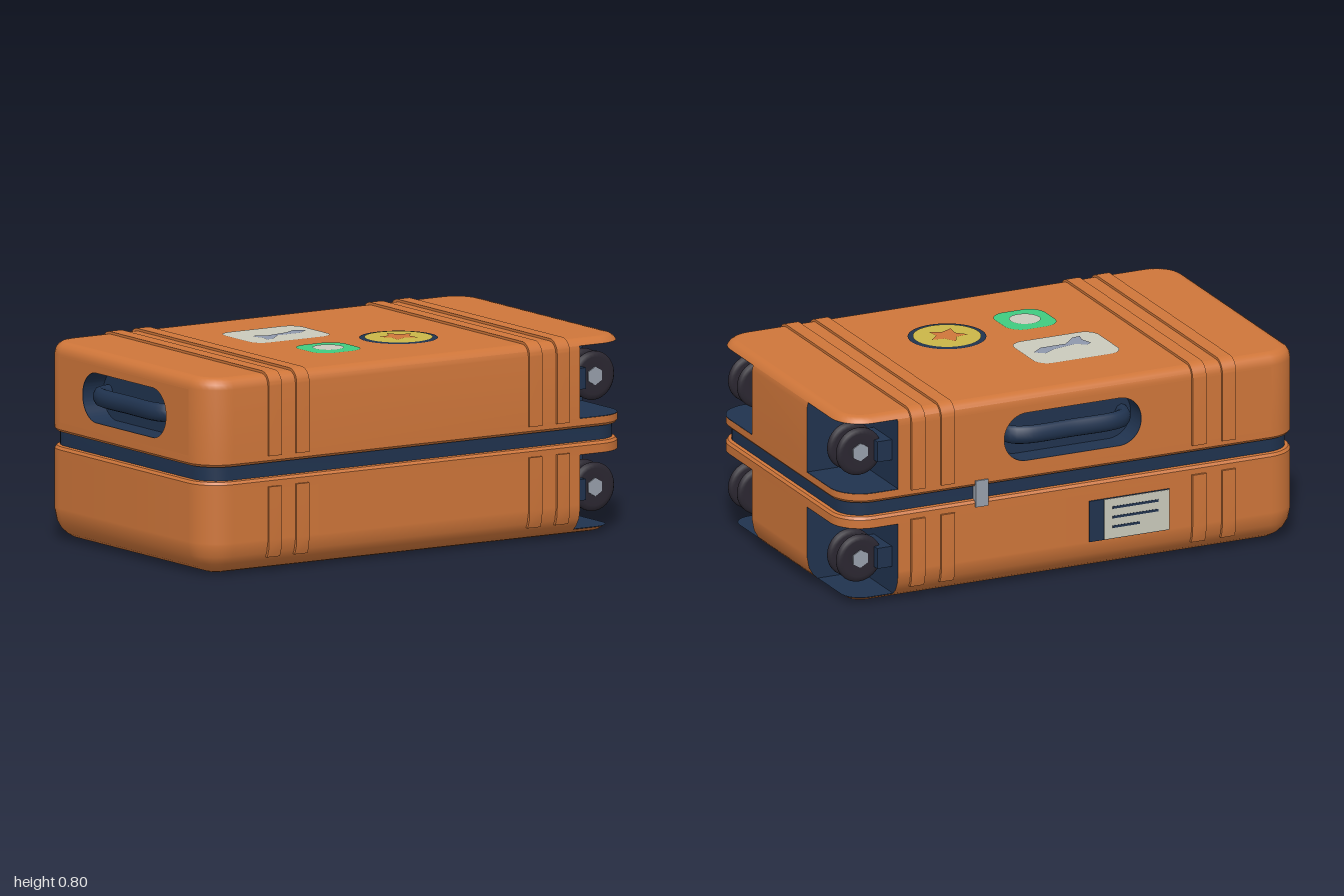
import * as THREE from 'three';
import { toCreasedNormals } from 'three/addons/utils/BufferGeometryUtils.js';

const W = 1, D = 0.59, R = 0.13;          // half width, half depth, corner radius
const NX = 0.765, NZ = 0.25;              // wheel well walls
const WELL_SEGMENTS = [1, 2, 22, 23], END = 12, BACK = 21;

const mat = (name, color, side = THREE.FrontSide) => {
  const m = new THREE.MeshStandardMaterial({ color, side });
  m.name = name;
  return m;
};

// Rounded corner points of the plan outline, inset by d
function corner(sx, sz, start, d) {
  return Array.from({ length: 9 }, (_, i) => {
    const a = start + (i / 8) * Math.PI / 2;
    return [sx * (W - R) + (R - d) * Math.cos(a), sz * (D - R) + (R - d) * Math.sin(a)];
  });
}
const H = Math.PI / 2;
const fullOutline = d => [...corner(1, 1, 0, d), ...corner(-1, 1, H, d), ...corner(-1, -1, 2 * H, d), ...corner(1, -1, 3 * H, d)];
const notchedOutline = d => [[W - d, -NZ], [W - d, NZ], [NX, NZ], [NX, D - d],
  ...corner(-1, 1, H, d), ...corner(-1, -1, 2 * H, d), [NX, d - D], [NX, -NZ]];

// Walls between rings [y, inset], keeping only the chosen outline segments
function loft(rings, outline, keep = () => true) {
  const out = [];
  for (let k = 0; k < rings.length - 1; k++) {
    const [y0, d0] = rings[k], [y1, d1] = rings[k + 1];
    const lo = outline(d0), hi = outline(d1), n = lo.length;
    for (let i = 0; i < n; i++) {
      if (!keep(i)) continue;
      const j = (i + 1) % n;
      const a = [lo[i][0], y0, lo[i][1]], b = [lo[j][0], y0, lo[j][1]];
      const c = [hi[j][0], y1, hi[j][1]], e = [hi[i][0], y1, hi[i][1]];
      out.push(...a, ...e, ...c, ...a, ...c, ...b);
    }
  }
  return out;
}
function fromPositions(p) {
  const g = new THREE.BufferGeometry();
  g.setAttribute('position', new THREE.Float32BufferAttribute(p, 3));
  return toCreasedNormals(g, 0.6);
}
const polygon = pts => new THREE.Shape(pts.map(p => new THREE.Vector2(p[0], p[1])));
function roundRect(cx, cy, hw, hh, r) {
  const s = new THREE.Shape();
  s.absarc(cx + hw - r, cy + hh - r, r, 0, H);
  s.absarc(cx - hw + r, cy + hh - r, r, H, 2 * H);
  s.absarc(cx - hw + r, cy - hh + r, r, 2 * H, 3 * H);
  s.absarc(cx + hw - r, cy - hh + r, r, 3 * H, 4 * H);
  s.closePath();
  return s;
}

export function createModel() {
  const root = new THREE.Group();
  root.name = 'suitcase';
  const orange = mat('orange shell', 0xcf763a);
  const navy = mat('navy trim', 0x20334f, THREE.DoubleSide);
  const cream = mat('cream', 0xcacabc);
  const yellow = mat('yellow', 0xcab648);
  const green = mat('green', 0x40cb80);
  const blueGrey = mat('blue grey', 0x8f98ad);
  const rubber = mat('dark rubber', 0x2b2731);
  const steel = mat('steel', 0x98a0ac);
  const add = (parent, name, geo, material, x = 0, y = 0, z = 0) => {
    const m = new THREE.Mesh(geo, material);
    m.name = name;
    m.position.set(x, y, z);
    parent.add(m);
    return m;
  };

  // Shell halves
  const isWell = i => WELL_SEGMENTS.includes(i);
  const notWell = i => !isWell(i);
  const upperMid = [[0.475, 0], [0.74, 0]], upperEdge = [[0.74, 0], [0.745, 0], [0.765, 0.005]];
  const lowerMid = [[0.025, 0.047], [0.045, 0.026], [0.075, 0.009], [0.12, 0], [0.13, 0], [0.33, 0]];
  add(root, 'upperShell', fromPositions([
    ...loft([[0.432, 0.03], [0.436, 0.008], [0.446, 0], [0.475, 0]], fullOutline),
    ...loft(upperMid, notchedOutline, i => notWell(i) && i !== END && i !== BACK),
    ...loft(upperEdge, notchedOutline, notWell),
    ...loft([[0.765, 0.005], [0.777, 0.013], [0.787, 0.028], [0.79, 0.045]], fullOutline)]), orange);
  add(root, 'lowerShell', fromPositions([
    ...loft([[0, 0.12], [0.002, 0.098], [0.009, 0.074], [0.025, 0.047]], fullOutline),
    ...loft(lowerMid, notchedOutline, notWell),
    ...loft([[0.33, 0], [0.365, 0], [0.376, 0.008], [0.38, 0.03]], fullOutline)]), orange);
  add(root, 'topPanel', new THREE.ShapeGeometry(polygon(fullOutline(0.045))).rotateX(-H), orange, 0, 0.79);
  add(root, 'bottomPanel', new THREE.ShapeGeometry(polygon(fullOutline(0.12))).rotateX(H), orange);
  const core = new THREE.ExtrudeGeometry(polygon(fullOutline(0.022)), { depth: 0.07, bevelEnabled: false });
  add(root, 'seam', toCreasedNormals(core.rotateX(-H), 0.6), navy, 0, 0.37);

  // Wheel wells: inner walls, floors and ceilings
  add(root, 'upperWellWalls', fromPositions(loft([...upperMid, ...upperEdge.slice(1)], notchedOutline, isWell)), navy);
  add(root, 'lowerWellWalls', fromPositions(loft(lowerMid, notchedOutline, isWell)), navy);
  for (const s of [1, -1]) {
    for (const [y, d] of [[0.476, 0], [0.764, 0.005], [0.026, 0.047], [0.329, 0]]) {
      const pts = [[NX, NZ], [W - d, NZ], ...corner(1, 1, 0, d), [NX, D - d]].map(p => [p[0], s * p[1]]);
      add(root, 'wellPlate', new THREE.ShapeGeometry(polygon(pts)).rotateX(-H), navy, 0, y);
    }
  }

  // Twin wheels on brackets
  const tire = new THREE.LatheGeometry([[0.03, -0.013], [0.075, -0.015], [0.09, -0.012], [0.098, -0.004],
    [0.098, 0.004], [0.09, 0.012], [0.075, 0.015], [0.03, 0.013]].map(p => new THREE.Vector2(...p)), 28).rotateX(H);
  for (const y of [0.622, 0.177]) {
    for (const s of [1, -1]) {
      const g = new THREE.Group();
      g.name = 'wheelUnit';
      g.position.set(0.89, y, s * 0.45);
      root.add(g);
      for (const z of [-0.04, 0.04]) add(g, 'wheel', tire, rubber, 0, 0, z);
      add(g, 'axle', new THREE.CylinderGeometry(0.037, 0.037, 0.116, 6).rotateX(H).toNonIndexed(), steel);
      add(g, 'bracketBase', new THREE.BoxGeometry(0.065, 0.085, 0.166), navy, -0.0935);
      add(g, 'bracketArm', new THREE.BoxGeometry(0.05, 0.064, 0.045), navy, -0.055);
    }
  }

  // Raised ribs over the top and down the sides
  const upperRib = new THREE.Shape();
  upperRib.moveTo(-0.6, 0.465).lineTo(0.6, 0.465);
  upperRib.absarc(0.545, 0.745, 0.055, 0, H);
  upperRib.absarc(-0.545, 0.745, 0.055, H, 2 * H);
  const lowerRib = polygon([[-0.586, 0.058], [0.586, 0.058], [0.597, 0.09], [0.6, 0.13], [0.6, 0.342],
    [-0.6, 0.342], [-0.6, 0.13], [-0.597, 0.09]]);
  for (const [name, shape] of [['upperRib', upperRib], ['lowerRib', lowerRib]]) {
    const g = new THREE.ExtrudeGeometry(shape, { depth: 0.06, bevelEnabled: false, curveSegments: 6 });
    const geo = toCreasedNormals(g.translate(0, 0, -0.03).rotateY(H), 0.6);
    for (const x of [-0.68, -0.55, 0.55, 0.68]) add(root, name, geo, orange, x);
  }

  // Recessed carry handles on the back and on the end
  function handlePanel(name, u0, u1) {
    const g = new THREE.Group();
    g.name = name;
    const wall = polygon([[u0, 0.475], [u1, 0.475], [u1, 0.74], [u0, 0.74]]);
    const opening = roundRect(0, 0.61, 0.3, 0.1, 0.098);
    wall.holes.push(opening);
    add(g, 'panel', new THREE.ShapeGeometry(wall), orange);
    const rim = roundRect(0, 0.61, 0.31, 0.11, 0.108);
    rim.holes.push(opening);
    const rimGeo = new THREE.ExtrudeGeometry(rim, { depth: 0.098, bevelEnabled: false });
    add(g, 'recessWall', toCreasedNormals(rimGeo, 0.6), navy, 0, 0, -0.1);
    add(g, 'recessBack', new THREE.ShapeGeometry(opening), navy, 0, 0, -0.099);
    const path = new THREE.CatmullRomCurve3([[-0.26, -0.1], [-0.245, -0.05], [-0.19, -0.022], [0, -0.02],
      [0.19, -0.022], [0.245, -0.05], [0.26, -0.1]].map(p => new THREE.Vector3(p[0], 0, p[1])));
    add(g, 'grip', new THREE.TubeGeometry(path, 32, 0.029, 10), navy, 0, 0.61).scale.y = 1.3;
    root.add(g);
    return g;
  }
  const backHandle = handlePanel('backHandle', -NX, W - R);
  backHandle.position.z = -D;
  backHandle.rotation.y = Math.PI;
  const endHandle = handlePanel('endHandle', R - D, D - R);
  endHandle.position.x = -W;
  endHandle.rotation.y = -H;

  // Latch and address label on the back
  add(root, 'latch', new THREE.BoxGeometry(0.055, 0.11, 0.027), steel, 0.4, 0.405, -0.583);
  add(root, 'labelBase', new THREE.BoxGeometry(0.35, 0.17, 0.008), navy, -0.245, 0.215, -0.592);
  add(root, 'labelCard', new THREE.BoxGeometry(0.285, 0.166, 0.004), cream, -0.276, 0.215, -0.596);
  [[0.2, 0.26], [0.2, 0.22], [0.12, 0.18]].forEach(([w, y]) =>
    add(root, 'labelLine', new THREE.BoxGeometry(w, 0.01, 0.002), navy, -0.17 - w / 2, y, -0.5985));

  // Travel stickers on top (shape y is -z)
  const sticker = (name, shape, material, layer) =>
    add(root, name, new THREE.ShapeGeometry(shape, 24).rotateX(-H), material, 0, 0.79 + layer * 0.0025);
  const disc = (x, y, r) => roundRect(x, y, r, r, r * 0.999);
  sticker('creamSticker', roundRect(-0.175, 0.165, 0.185, 0.145, 0.06), cream, 1);
  sticker('creamStickerShape', polygon([[-0.28, 0.07], [-0.27, 0.11], [-0.287, 0.16], [-0.265, 0.175], [-0.22, 0.15],
    [-0.12, 0.17], [-0.07, 0.2], [-0.03, 0.17], [-0.08, 0.13], [-0.19, 0.13], [-0.245, 0.075]].reverse()), blueGrey, 2);
  sticker('greenSticker', roundRect(-0.175, -0.21, 0.11, 0.112, 0.07), green, 1);
  sticker('greenStickerCentre', disc(-0.175, -0.21, 0.062), cream, 2);
  sticker('roundStickerRim', disc(0.19, -0.16, 0.155), navy, 1);
  sticker('roundSticker', disc(0.19, -0.16, 0.135), yellow, 2);
  sticker('star', polygon(Array.from({ length: 10 }, (_, i) => {
    const r = i % 2 ? 0.043 : 0.083, a = H + i * Math.PI / 5;
    return [0.19 + r * Math.cos(a), -0.16 + r * Math.sin(a)];
  })), orange, 3);
  return root;
}
